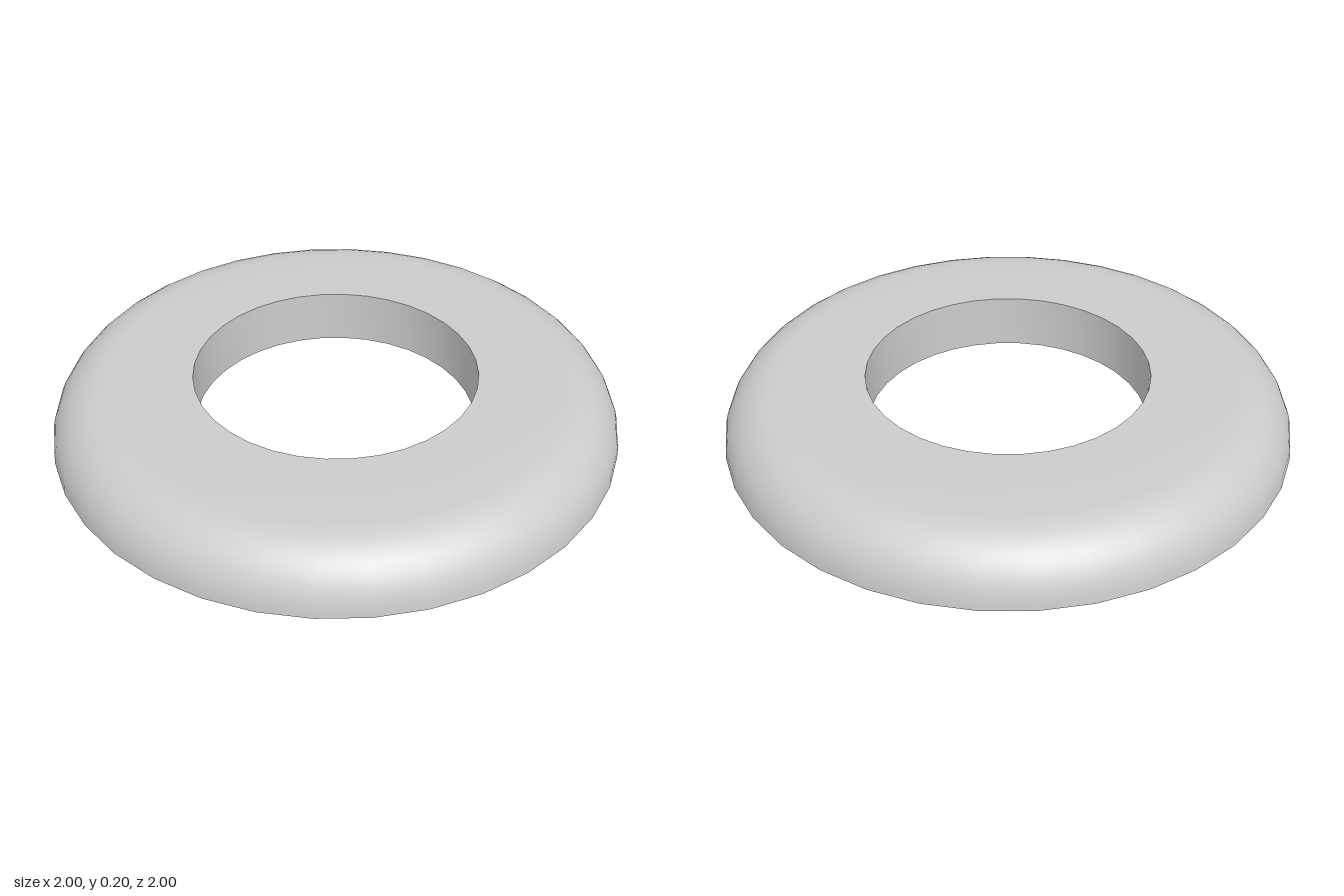
import * as THREE from 'three';
import { toCreasedNormals } from 'three/addons/utils/BufferGeometryUtils.js';

const OUTER = 1, INNER = 0.5, HEIGHT = 0.2, SIDES = 36, ARC_STEPS = 9;

export function createModel() {
  const group = new THREE.Group();
  group.name = 'roundedRing';

  // Closed cross-section: flat base, quarter-round outer edge, flat top, straight bore
  const profile = [new THREE.Vector2(INNER, 0)];
  for (let i = 0; i <= ARC_STEPS; i++) {
    const a = (i / ARC_STEPS) * Math.PI / 2;
    profile.push(new THREE.Vector2(
      OUTER - HEIGHT + HEIGHT * Math.cos(a),
      HEIGHT * Math.sin(a)
    ));
  }
  profile.push(new THREE.Vector2(INNER, HEIGHT), new THREE.Vector2(INNER, 0));

  // Smooth rounding, with sharp edges at the base and the bore
  const geometry = toCreasedNormals(new THREE.LatheGeometry(profile, SIDES), 0.6);
  const ring = new THREE.Mesh(geometry, new THREE.MeshStandardMaterial({ color: 0xcccccc }));
  ring.name = 'ring';
  group.add(ring);

  return group;
}
